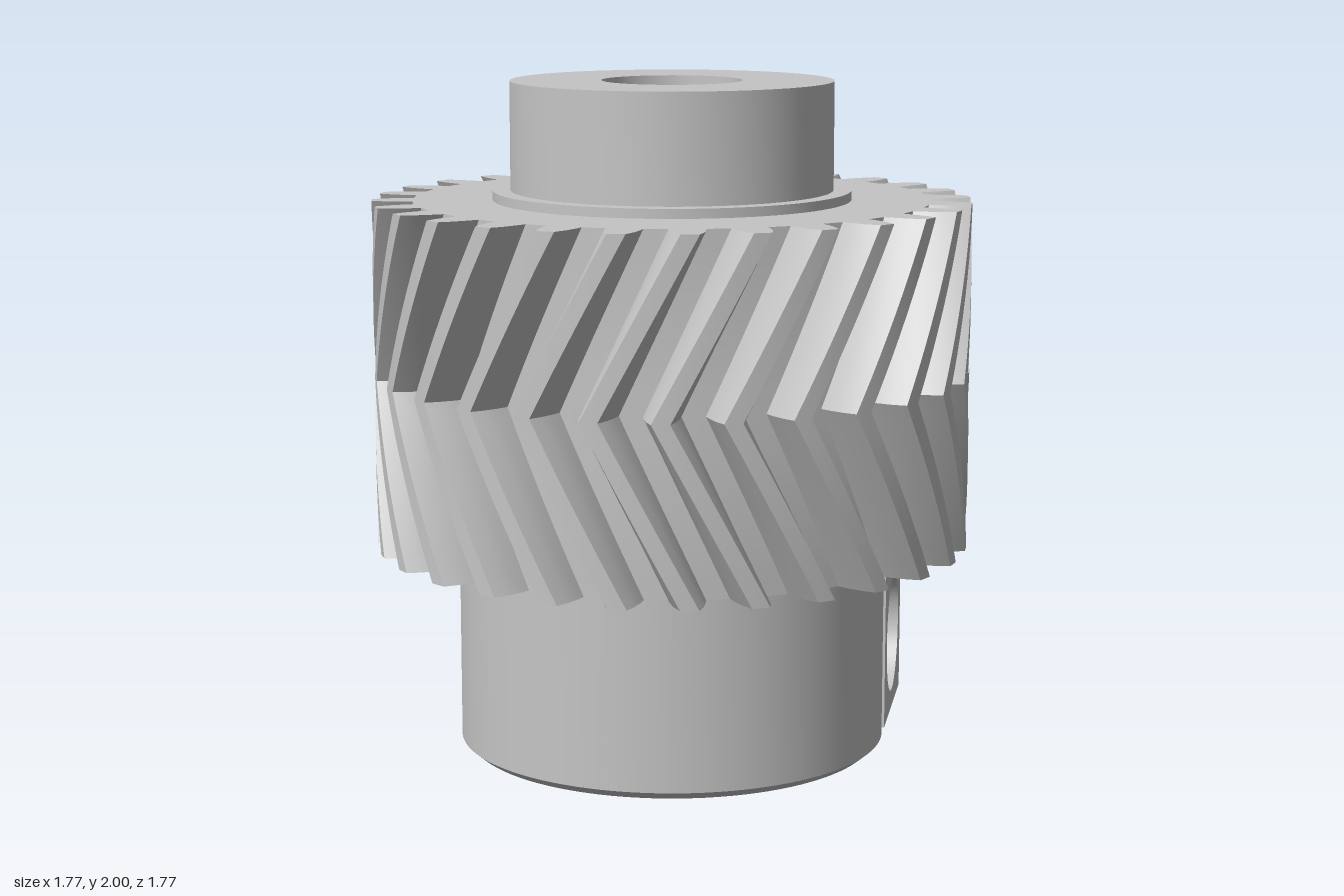
import * as THREE from 'three';
import { toCreasedNormals } from 'three/addons/utils/BufferGeometryUtils.js';

const BORE = 0.207, HUB_R = 0.64, GEAR_BOTTOM = 0.622, GEAR_TOP = 1.652, CHAMFER = 0.025;
const LUG_X = 0.64, STEP_X = 0.5; // outer face of the lugs, floor of the counterbore
const rad = THREE.MathUtils.degToRad;

// Points on an arc, angles in degrees
function arc(r, from, to, n) {
  const pts = [];
  for (let i = 0; i <= n; i++) {
    const a = rad(from + (to - from) * i / n);
    pts.push([r * Math.cos(a), r * Math.sin(a)]);
  }
  return pts;
}
const vec = pts => pts.map(([x, y]) => new THREE.Vector2(x, y));

// Upright prism from a plan outline (x, -z)
function prism(shape, y0, y1, steps = 1) {
  const g = new THREE.ExtrudeGeometry(shape, { depth: y1 - y0, bevelEnabled: false, steps });
  return g.rotateX(-Math.PI / 2).translate(0, y0, 0);
}

// Move vertices by a rule
function reshape(g, rule) {
  const p = g.attributes.position, v = new THREE.Vector3();
  for (let i = 0; i < p.count; i++) {
    rule(v.fromBufferAttribute(p, i));
    p.setXYZ(i, v.x, v.y, v.z);
  }
  return g;
}

export function createModel() {
  const group = new THREE.Group();
  const steel = new THREE.MeshStandardMaterial({ color: 0xc5c5c5 });
  steel.name = 'light grey steel';
  const add = (name, geometry, crease = 0.15) => {
    const mesh = new THREE.Mesh(toCreasedNormals(geometry, crease), steel);
    mesh.name = name;
    group.add(mesh);
  };

  // Herringbone gear: 28 teeth, twisted one way and back, with a D-shaped bore
  const TEETH = 28, TWIST = rad(18);
  const flank = [[0.765, 3.9], [0.8, 3.5], [0.845, 2.75], [0.885, 1.7]];
  const outline = [];
  for (let i = 0; i < TEETH; i++) {
    const mid = 90 + i * 360 / TEETH;
    const tooth = [
      ...flank.map(([r, a]) => [r, mid - a]),
      [0.885, mid],
      ...flank.slice().reverse().map(([r, a]) => [r, mid + a]),
    ];
    for (const [r, a] of tooth) outline.push([r * Math.cos(rad(a)), r * Math.sin(rad(a))]);
  }
  const gear = new THREE.Shape(vec(outline));
  const flatAngle = THREE.MathUtils.radToDeg(Math.acos(0.175 / BORE));
  gear.holes.push(new THREE.Path(vec(arc(BORE, flatAngle, 360 - flatAngle, 48))));
  const middle = (GEAR_BOTTOM + GEAR_TOP) / 2, half = middle - GEAR_BOTTOM;
  const up = new THREE.Vector3(0, 1, 0);
  add('herringboneGear', reshape(prism(gear, GEAR_BOTTOM, GEAR_TOP, 20), v => {
    if (Math.hypot(v.x, v.z) > 0.4) v.applyAxisAngle(up, -TWIST * (1 - Math.abs(v.y - middle) / half));
  }), 0.4);

  // Shoulder ring and upper collar
  add('upperCollar', new THREE.LatheGeometry(vec([
    [0.53, GEAR_TOP], [0.53, 1.68], [0.477, 1.68], [0.477, 2], [BORE, 2], [BORE, GEAR_TOP],
  ]), 80));

  // Slotted clamp hub, notched at the back for the screw lugs
  const notch = [[0.025, 0.225], [STEP_X, 0.225], [STEP_X, 0.16], [LUG_X, 0.16], [LUG_X, 0.11]];
  const boreArc = arc(BORE, 96.9, 443.1, 48);
  add('clampHub', prism(new THREE.Shape(vec([
    ...notch,
    ...arc(HUB_R, 9.9, -189.9, 64),
    ...notch.slice().reverse().map(([x, y]) => [-x, y]),
    ...boreArc,
  ])), CHAMFER, GEAR_BOTTOM));

  // Chamfered bottom edge of the hub, cut by the same slot
  const base = new THREE.Shape(vec([...arc(HUB_R, 87.8, -267.8, 96), ...boreArc]));
  add('hubChamfer', reshape(prism(base, 0, CHAMFER), v => {
    if (v.y < 0.001 && Math.hypot(v.x, v.z) > 0.5) {
      v.x *= 0.61 / HUB_R;
      v.z *= 0.61 / HUB_R;
    }
  }));

  // Block along x with a round screw hole; u runs towards the back
  function drilledBlock(name, u0, u1, x0, x1, holeR) {
    const s = new THREE.Shape(vec([[u0, CHAMFER], [u1, CHAMFER], [u1, GEAR_BOTTOM], [u0, GEAR_BOTTOM]]));
    s.holes.push(new THREE.Path().absarc(0.35, 0.265, holeR, 0, Math.PI * 2, true));
    const g = new THREE.ExtrudeGeometry(s, { depth: x1 - x0, bevelEnabled: false, curveSegments: 32 });
    add(name, g.rotateY(Math.PI / 2).translate(x0, 0, 0));
  }
  // Left lug has the counterbore, right lug the narrower hole
  drilledBlock('leftLugInner', 0.225, 0.475, 0.025, STEP_X, 0.104);
  drilledBlock('leftLugCounterbore', 0.16, 0.54, STEP_X, LUG_X, 0.184);
  drilledBlock('rightLugInner', 0.225, 0.475, -STEP_X, -0.025, 0.104);
  drilledBlock('rightLugOuter', 0.16, 0.54, -LUG_X, -STEP_X, 0.125);

  // Back walls of both lugs, with the hub's curve beside the slot
  for (const side of [1, -1]) {
    const pts = [
      [0.025, 0.475], [STEP_X, 0.475], [STEP_X, 0.54], [LUG_X, 0.54], [LUG_X, 0.595],
      ...arc(HUB_R, 68.4, 87.76, 8),
    ].map(([x, y]) => [x * side, y]);
    add(side > 0 ? 'leftLugBack' : 'rightLugBack', prism(new THREE.Shape(vec(pts)), CHAMFER, GEAR_BOTTOM));
  }
  return group;
}
